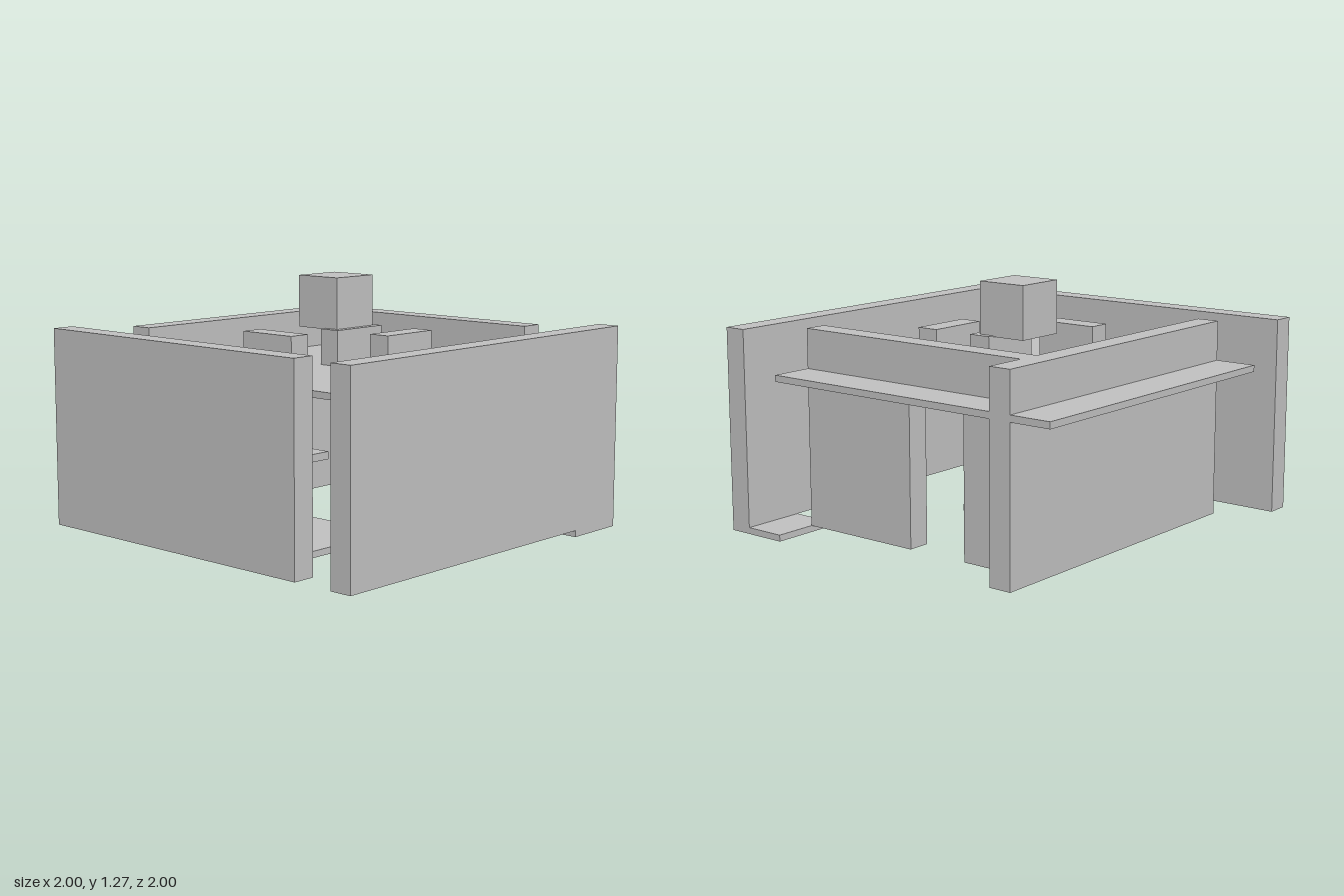
import * as THREE from 'three';

export function createModel() {
  const model = new THREE.Group();
  model.name = 'walledRoom';
  const grey = new THREE.MeshStandardMaterial({ color: 0xc0c0c0 });
  grey.name = 'plain grey';

  // Box given by its extents along each axis
  const block = (name, [x0, x1], [y0, y1], [z0, z1]) => {
    const mesh = new THREE.Mesh(new THREE.BoxGeometry(x1 - x0, y1 - y0, z1 - z0), grey);
    mesh.position.set((x0 + x1) / 2, (y0 + y1) / 2, (z0 + z1) / 2);
    mesh.name = name;
    model.add(mesh);
  };

  const base = 0.033, under = 0.8, deck = 0.833, top = 1.033;
  const t = 1 / 3, s = 2 / 3;

  // Outer walls
  block('frontWall', [-1, 1], [base, top], [0.883, 1]);
  block('sideWall', [-1, -0.883], [base, top], [-1, s]);
  block('backWall', [-s, 1], [base, top], [-0.783, -s]);

  // Doorway wall: two lower pieces either side of the opening, parapet above
  const wallX = [0.663, 0.78];
  block('doorWallFront', wallX, [base, under], [0, s]);
  block('doorWallBack', wallX, [base, under], [-s, -t]);
  block('parapet', wallX, [deck, top], [-s, s]);

  // Upper deck overhanging the back and doorway walls
  block('deck', [-s, 1], [under, deck], [-1, s]);

  // Ground plates
  block('groundPlate', [-s, 0], [0, base], [-t, t]);
  block('cornerPlate', [s, 1], [0, base], [s, 1]);

  // Low blocks on the deck, with a cube resting on one of them
  const blockY = [deck, 1.015];
  block('sideBlock', [-t, -0.217], blockY, [-t, 0]);
  block('frontBlock', [0, t], blockY, [0.217, t]);
  block('middleBlock', [0, t], blockY, [-0.117, 0]);
  block('cube', [0.033, 0.3], [1.01, 1.275], [-0.3, -0.035]);

  // Small plate hanging inside the room
  block('innerPlate', [-0.3, -0.033], [0.36, 0.4], [-0.3, -0.033]);

  return model;
}
